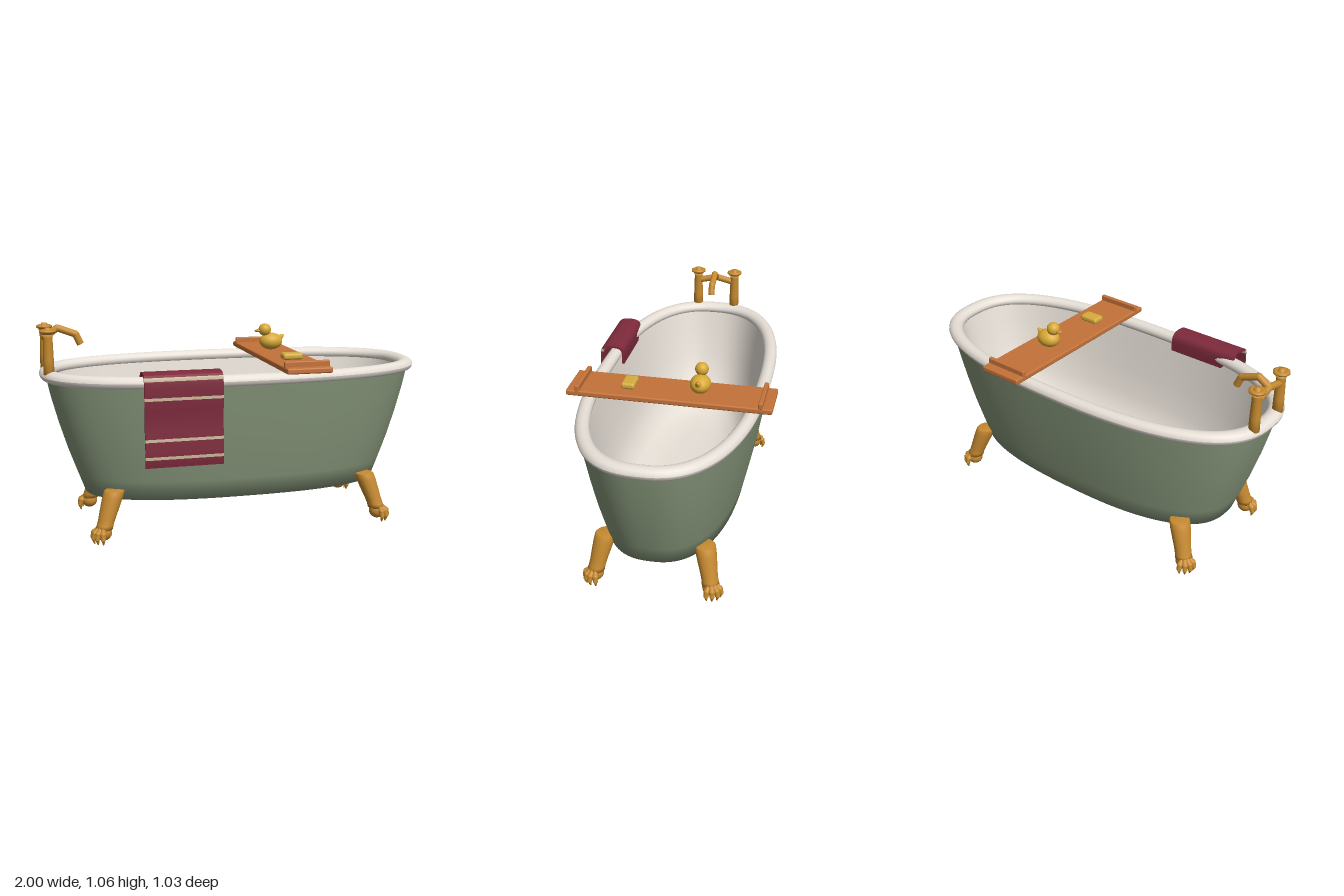
import * as THREE from 'three';
import { RoundedBoxGeometry } from 'three/addons/geometries/RoundedBoxGeometry.js';

const paint = (name, color) => {
  const m = new THREE.MeshStandardMaterial({ color });
  m.name = name;
  return m;
};
const V = (x, y, z) => new THREE.Vector3(x, y, z);

function add(parent, name, geometry, material, x = 0, y = 0, z = 0) {
  const mesh = new THREE.Mesh(geometry, material);
  mesh.name = name;
  mesh.position.set(x, y, z);
  parent.add(mesh);
  return mesh;
}

// Skin over stacked rounded ovals; each ring is [y, half length, half width]
function ovalLoft(rings, sides = 96) {
  const pos = [], idx = [];
  const bend = (v) => Math.sign(v) * Math.abs(v) ** (2 / 2.5);
  rings.forEach(([y, a, b], i) => {
    for (let j = 0; j < sides; j++) {
      const t = (j / sides) * Math.PI * 2;
      pos.push(a * bend(Math.cos(t)), y, b * bend(Math.sin(t)));
      if (i === rings.length - 1) continue;
      const p = i * sides + j, q = i * sides + ((j + 1) % sides);
      idx.push(p, p + sides, q + sides, p, q + sides, q);
    }
  });
  const g = new THREE.BufferGeometry();
  g.setAttribute('position', new THREE.Float32BufferAttribute(pos, 3));
  g.setIndex(idx);
  g.computeVertexNormals();
  return g;
}

// Tapered round bar between two points
function rod(parent, name, a, b, ra, rb, material) {
  const d = b.clone().sub(a);
  const mesh = add(parent, name, new THREE.CylinderGeometry(rb, ra, d.length(), 16), material);
  mesh.position.copy(a).addScaledVector(d, 0.5);
  mesh.quaternion.setFromUnitVectors(V(0, 1, 0), d.normalize());
}

const ball = (r, sx = 1, sy = 1, sz = 1) => new THREE.SphereGeometry(r, 28, 18).scale(sx, sy, sz);
const lathe = (pts, n = 28) => new THREE.LatheGeometry(pts.map(([r, y]) => new THREE.Vector2(r, y)), n);

// Cloth strip of given thickness, following [z, y] points and extruded along x
function ribbon(pts, half, width) {
  const sides = [[], []];
  pts.forEach((p, i) => {
    const d = pts[Math.min(i + 1, pts.length - 1)].clone().sub(pts[Math.max(i - 1, 0)]).normalize();
    sides[0].push(new THREE.Vector2(-(p.x - d.y * half), p.y + d.x * half));
    sides[1].push(new THREE.Vector2(-(p.x + d.y * half), p.y - d.x * half));
  });
  const shape = new THREE.Shape([...sides[0], ...sides[1].reverse()]);
  return new THREE.ExtrudeGeometry(shape, { depth: width, bevelEnabled: false })
    .translate(0, 0, -width / 2).rotateY(Math.PI / 2);
}

// Claw foot, pointing along its local +x
function clawFoot(brass) {
  const foot = new THREE.Group();
  const leg = lathe([[0, 0.257], [0.046, 0.257], [0.052, 0.25], [0.052, 0.22], [0.048, 0.17],
    [0.043, 0.12], [0.042, 0.09], [0.044, 0.07], [0, 0.05]].reverse());
  const p = leg.attributes.position;
  for (let i = 0; i < p.count; i++) p.setX(i, p.getX(i) - 0.4 * Math.max(0, p.getY(i) - 0.06));
  leg.computeVertexNormals();
  add(foot, 'leg', leg, brass);
  add(foot, 'paw', ball(0.042), brass, 0, 0.053, 0);
  for (const k of [-1.5, -0.5, 0.5, 1.5]) {
    const a = k * 0.55;
    const at = (r, y) => V(r * Math.cos(a), y, r * Math.sin(a));
    rod(foot, 'toe', at(0.018, 0.078), at(0.047, 0.055), 0.013, 0.015, brass);
    add(foot, 'knuckle', ball(0.0155), brass).position.copy(at(0.047, 0.055));
    rod(foot, 'toeTip', at(0.047, 0.055), at(0.055, 0.028), 0.015, 0.012, brass);
    rod(foot, 'claw', at(0.055, 0.03), at(0.049, 0.002), 0.011, 0.003, brass);
  }
  return foot;
}

export function createModel() {
  const green = paint('sage enamel', 0x86967a);
  const white = paint('porcelain', 0xe6dfd6);
  const brass = paint('brass', 0xc68a30);
  const wood = paint('wood', 0xc4733a);
  const red = paint('towel red', 0x7e2a3c);
  const cream = paint('towel stripe', 0xcdb99c);
  const yellow = paint('duck yellow', 0xd9a936);
  const soapColor = paint('soap yellow', 0xd6ac40);
  const model = new THREE.Group();
  model.name = 'bathtub';

  // Tub shell, inner basin and rolled rim
  add(model, 'tubShell', ovalLoft([[0.2, 0, 0], [0.2, 0.62, 0.22], [0.2, 0.785, 0.335],
    [0.3, 0.822, 0.357], [0.42, 0.865, 0.383], [0.56, 0.908, 0.408], [0.7, 0.945, 0.43],
    [0.81, 0.968, 0.446]]), green);
  add(model, 'basin', ovalLoft([[0.82, 0.93, 0.402], [0.7, 0.9, 0.382], [0.55, 0.86, 0.358],
    [0.42, 0.81, 0.328], [0.33, 0.75, 0.29], [0.28, 0.67, 0.235], [0.258, 0.56, 0.17],
    [0.25, 0.4, 0.1], [0.25, 0, 0]]), white);
  const section = [];
  for (let i = 0; i <= 16; i++) {
    const t = (i / 16) * Math.PI * 2, c = Math.cos(t);
    section.push([0.815 + 0.031 * Math.sin(t), 0.957 + 0.041 * c, 0.423 + 0.035 * c]);
  }
  add(model, 'rim', ovalLoft(section), white);

  // Four feet turned out to the corners
  for (const sx of [-1, 1]) for (const sz of [-1, 1]) {
    const foot = clawFoot(brass);
    foot.name = (sz > 0 ? 'front' : 'back') + (sx > 0 ? 'Left' : 'Right') + 'Foot';
    foot.position.set(sx * 0.733, 0, sz * 0.293);
    foot.rotation.y = -Math.atan2(sz * 0.55, sx * 0.84);
    model.add(foot);
  }

  // Tap: two pillars with handles, bridge and bent spout
  const tap = new THREE.Group();
  tap.name = 'tap';
  model.add(tap);
  const tx = -0.957, top = V(tx, 1.01, 0);
  for (const s of [-1, 1]) {
    add(tap, 'pillar', lathe([[0, 0.83], [0.027, 0.83], [0.026, 0.9], [0.023, 1.015],
      [0.03, 1.028], [0, 1.03]]), brass, tx, 0, s * 0.108);
    add(tap, 'handle', lathe([[0, 1.03], [0.026, 1.03], [0.041, 1.04], [0.041, 1.048],
      [0.03, 1.054], [0.022, 1.05], [0.016, 1.05], [0.014, 1.062], [0, 1.063]]), brass, tx, 0, s * 0.108);
    rod(tap, 'bridge', V(tx, 0.985, s * 0.108), top, 0.018, 0.018, brass);
  }
  const path = [top, V(-0.9, 1.047, 0), V(-0.81, 1.013, 0), V(-0.787, 0.962, 0)];
  path.forEach((p, i) => {
    if (i < 3) {
      rod(tap, 'spout', p, path[i + 1], 0.018, 0.018, brass);
      add(tap, 'spoutJoint', ball(0.018), brass).position.copy(p);
    }
  });

  // Bath tray with an end stop on each side
  const tray = new THREE.Group();
  tray.name = 'tray';
  model.add(tray);
  add(tray, 'board', new RoundedBoxGeometry(0.235, 0.029, 1.03, 3, 0.008), wood, 0.267, 0.8615, 0);
  for (const s of [-1, 1])
    add(tray, 'endStop', new RoundedBoxGeometry(0.235, 0.034, 0.022, 3, 0.006), wood, 0.267, 0.887, s * 0.457);

  // Soap and toy duck resting on the tray
  add(model, 'soap', new RoundedBoxGeometry(0.106, 0.033, 0.07, 4, 0.013), soapColor, 0.267, 0.892, 0.215);
  const duck = new THREE.Group();
  duck.name = 'duck';
  duck.position.set(0.265, 0, -0.143);
  model.add(duck);
  add(duck, 'body', ball(0.052, 1.22, 0.88, 1), yellow, 0, 0.921, 0);
  add(duck, 'head', ball(0.034), yellow, -0.035, 0.985, 0);
  rod(duck, 'tail', V(0.03, 0.925, 0), V(0.072, 0.955, 0), 0.032, 0.004, yellow);
  add(duck, 'beak', ball(0.016, 1.3, 0.5, 1), brass, -0.072, 0.98, 0);

  // Towel folded over the rim with four woven stripes
  const towel = new THREE.Group();
  towel.name = 'towel';
  towel.position.x = -0.356;
  model.add(towel);
  const fall = [[0.368, 0.775], [0.37, 0.84], [0.39, 0.865], [0.43, 0.869], [0.468, 0.863], [0.485, 0.84],
    [0.488, 0.75], [0.484, 0.64], [0.489, 0.53], [0.491, 0.47], [0.485, 0.42]];
  const cloth = new THREE.SplineCurve(fall.map(([z, y]) => new THREE.Vector2(z, y))).getSpacedPoints(220);
  add(towel, 'cloth', ribbon(cloth.filter((p, i) => i % 4 === 0), 0.006, 0.384), red);
  for (const y of [0.845, 0.752, 0.553, 0.467]) {
    const part = cloth.filter((p) => p.x > 0.44 && Math.abs(p.y - y) < 0.009);
    add(towel, 'stripe', ribbon(part, 0.0072, 0.385), cream);
  }
  return model;
}
